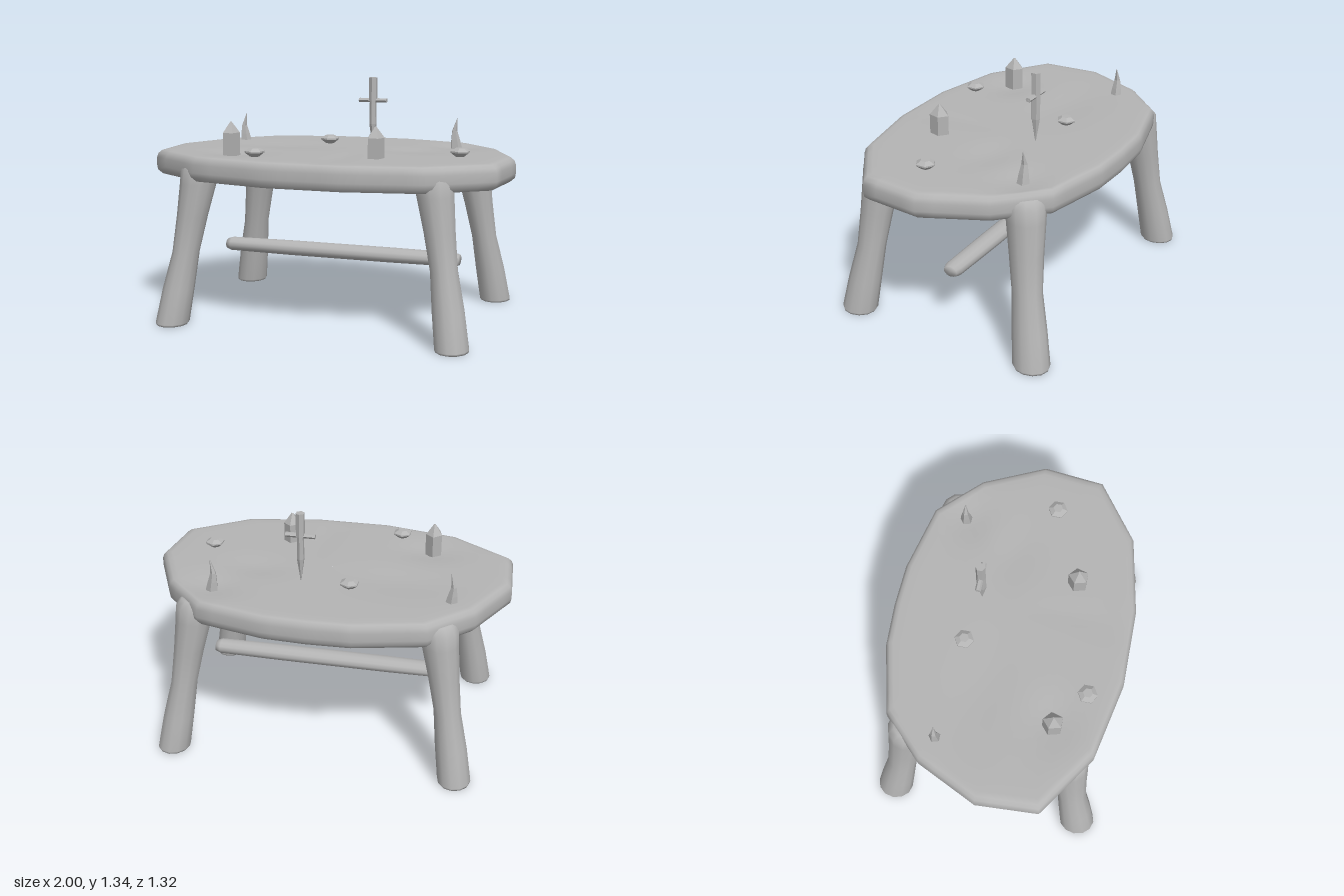
import * as THREE from 'three';

const grey = new THREE.MeshStandardMaterial({ color: 0xb4b4b4 });
grey.name = 'stone grey';

// Skin a stack of closed rings (each an array of Vector3, listed bottom to top)
function loft(rings, flat = false) {
  const n = rings[0].length, index = [];
  for (let i = 0; i < rings.length - 1; i++) {
    for (let j = 0; j < n; j++) {
      const k = (j + 1) % n, a = i * n + j, b = i * n + k;
      index.push(a, a + n, b, b, a + n, b + n);
    }
  }
  let geo = new THREE.BufferGeometry().setFromPoints(rings.flat());
  geo.setIndex(index);
  if (flat) geo = geo.toNonIndexed();
  geo.computeVertexNormals();
  return geo;
}

// Elliptical ring with n corners; corner 0 lies at the given angle
function ring(n, x, y, z, rx, rz, start = 0) {
  return Array.from({ length: n }, (_, j) => {
    const a = start + (j / n) * Math.PI * 2;
    return new THREE.Vector3(x + Math.cos(a) * rx, y, z + Math.sin(a) * rz);
  });
}

function add(parent, name, geo, x = 0, y = 0, z = 0) {
  const mesh = new THREE.Mesh(geo, grey);
  mesh.name = name;
  mesh.position.set(x, y, z);
  parent.add(mesh);
  return mesh;
}

// Faceted upright solid from [y, radiusX, radiusZ, xOffset] sections
function faceted(n, sections, start = -Math.PI / 2) {
  return loft(sections.map(([y, rx, rz = rx, x = 0]) => ring(n, x, y, 0, rx, rz, start)), true);
}

// Worn relief of the table surface: dents around two props and shallow hollows
function wear(x, z) {
  const bump = (cx, cz, rx, rz, d) => d * Math.exp(-(((x - cx) / rx) ** 2) - ((z - cz) / rz) ** 2);
  return bump(0.6, -0.36, 0.13, 0.13, -0.02) + bump(-0.5, 0.32, 0.13, 0.13, -0.02)
    + bump(-0.4, -0.1, 0.3, 0.16, -0.012) + bump(0.42, -0.08, 0.16, 0.12, -0.012)
    + bump(0.12, 0.4, 0.06, 0.25, -0.006);
}

function tableTop() {
  const outline = [
    [1, 0], [0.965, 0.34], [0.65, 0.57], [0.22, 0.655], [-0.21, 0.658], [-0.64, 0.57], [-0.98, 0.34],
    [-1, 0], [-0.84, -0.34], [-0.62, -0.56], [-0.24, -0.655], [0, -0.665], [0.24, -0.655],
    [0.61, -0.57], [0.84, -0.34],
  ];
  // Split each side so the surface relief has enough points
  const loop = outline.flatMap(([x, z], i) => {
    const [x2, z2] = outline[(i + 1) % outline.length];
    return [0, 0.25, 0.5, 0.75].map((t) => [x + (x2 - x) * t, z + (z2 - z) * t]);
  });
  const profile = [[0.001, 0.8], [0.5, 0.8], [0.93, 0.8], [0.97, 0.803], [0.995, 0.825], [1, 0.85],
    [1, 0.895], [0.99, 0.92], [0.97, 0.936], [0.94, 0.94]];
  for (let i = 13; i >= 0; i--) profile.push([Math.max(0.001, i / 15), 0.941]);
  return loft(profile.map(([s, y], i) => loop.map(([x, z]) => new THREE.Vector3(
    x * s, i > 8 ? y + wear(x * s, z * s) : y, z * s))));
}

// Splayed, waisted leg: [y, centreX, centreZ, radiusX, radiusZ]
function leg(sx, sz) {
  const sections = [
    [0, 0.795, 0.555, 0.001, 0.001], [0, 0.795, 0.555, 0.086, 0.096], [0.012, 0.793, 0.553, 0.091, 0.102],
    [0.2, 0.765, 0.525, 0.086, 0.094], [0.4, 0.732, 0.492, 0.073, 0.082], [0.6, 0.7, 0.468, 0.084, 0.092],
    [0.78, 0.67, 0.448, 0.1, 0.104], [0.86, 0.66, 0.44, 0.105, 0.106], [0.9, 0.65, 0.43, 0.085, 0.085],
    [0.905, 0.65, 0.43, 0.001, 0.001],
  ];
  return loft(sections.map(([y, x, z, rx, rz]) => ring(12, x * sx, y, z * sz, rx, rz)));
}

export function createModel() {
  const model = new THREE.Group();
  model.name = 'table';
  add(model, 'tableTop', tableTop());

  for (const sx of [1, -1]) {
    for (const sz of [1, -1]) {
      add(model, `${sz > 0 ? 'front' : 'back'}${sx > 0 ? 'Left' : 'Right'}Leg`, leg(sx, sz));
    }
  }

  // Stretcher bar with rounded ends
  const bar = loft([[-0.7, 0.001], [-0.7, 0.7], [-0.67, 0.92], [-0.3, 1], [0.3, 1], [0.67, 0.92], [0.7, 0.7],
    [0.7, 0.001]].map(([y, s]) => ring(12, 0, y, 0, 0.043 * s, 0.06 * s)));
  bar.rotateZ(Math.PI / 2);
  add(model, 'stretcher', bar, 0, 0.35, 0);

  // Pointed five-sided crystals
  const crystal = faceted(5, [[-0.025, 0.001], [-0.025, 0.048, 0.057], [0.11, 0.048, 0.057], [0.17, 0.004]]);
  for (const [x, z] of [[-0.525, 0.325], [0.305, 0.31]]) add(model, 'crystal', crystal, x, 0.94, z);

  // Curved five-sided horns
  const horn = faceted(5, [[-0.025, 0.001], [-0.02, 0.036], [0.035, 0.027, 0.028, -0.006],
    [0.085, 0.016, 0.018, -0.011], [0.16, 0.001, 0.001, 0.005]]);
  for (const [x, z] of [[-0.7, -0.275], [0.58, -0.38]]) add(model, 'horn', horn, x, 0.94, z);

  // Six-sided cut gems
  const gem = faceted(6, [[0.003, 0.001], [0.003, 0.024], [0.026, 0.054], [0.034, 0.054], [0.05, 0.027], [0.05, 0.001]]);
  for (const [x, z] of [[-0.32, 0.475], [-0.145, -0.235], [0.72, 0.12]]) add(model, 'gem', gem, x, 0.94, z);

  // Dagger standing on its point
  const dagger = new THREE.Group();
  dagger.name = 'dagger';
  dagger.position.set(0.132, 0, -0.195);
  add(dagger, 'blade', faceted(6, [[0.93, 0.001], [1.07, 0.021, 0.026], [1.205, 0.018, 0.028]]));
  add(dagger, 'grip', faceted(6, [[1.2, 0.025, 0.027], [1.335, 0.025, 0.027], [1.335, 0.001]]));
  const guard = faceted(6, [[-0.082, 0.001], [-0.082, 0.013, 0.016], [0.082, 0.013, 0.016], [0.082, 0.001]]);
  guard.rotateZ(Math.PI / 2);
  add(dagger, 'guard', guard, 0, 1.205, 0);
  model.add(dagger);

  return model;
}
